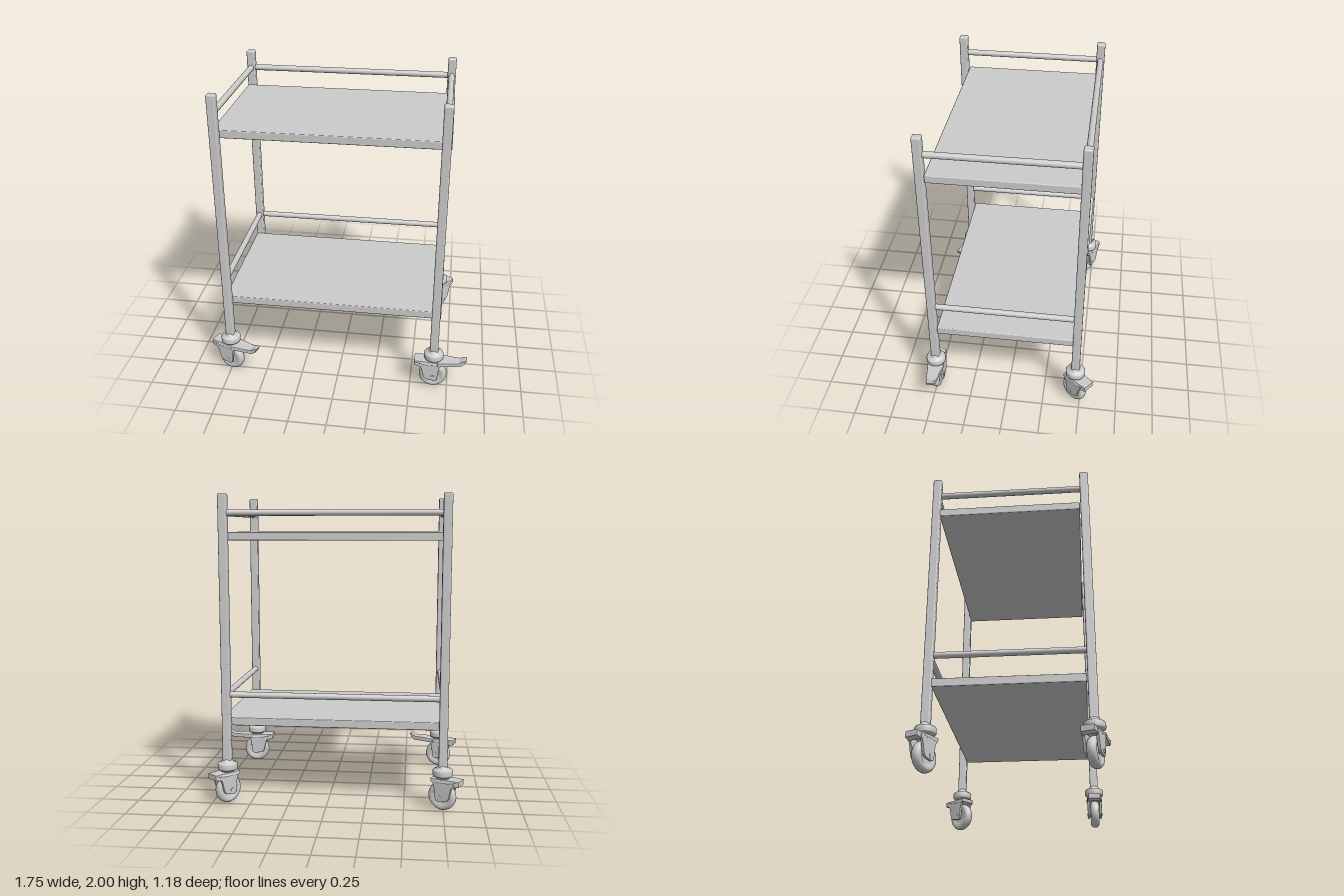
import * as THREE from 'three';
import { RoundedBoxGeometry } from 'three/addons/geometries/RoundedBoxGeometry.js';

const grey = new THREE.MeshStandardMaterial({ color: 0xcccccc });

function part(parent, name, geometry, x = 0, y = 0, z = 0) {
  const mesh = new THREE.Mesh(geometry, grey);
  mesh.name = name;
  mesh.position.set(x, y, z);
  parent.add(mesh);
  return mesh;
}

// Extrudes an x-y outline to a width centred on z
function slab(points, width, bevel = 0.006) {
  const shape = new THREE.Shape(points.map(([x, y]) => new THREE.Vector2(x, y)));
  const depth = width - 2 * bevel;
  return new THREE.ExtrudeGeometry(shape, {
    depth, bevelSize: bevel, bevelThickness: bevel, bevelOffset: -bevel, bevelSegments: 2,
  }).translate(0, 0, -depth / 2);
}

const lathe = (points, sides) =>
  new THREE.LatheGeometry(points.map(([r, y]) => new THREE.Vector2(r, y)), sides);

// Narrows a geometry in z between two x positions
function taper(geometry, x0, x1, endScale) {
  const p = geometry.attributes.position;
  for (let i = 0; i < p.count; i++) {
    const t = THREE.MathUtils.clamp((p.getX(i) - x0) / (x1 - x0), 0, 1);
    p.setZ(i, p.getZ(i) * (1 + (endScale - 1) * t));
  }
  geometry.computeVertexNormals();
  return geometry;
}

function createCaster(hasBrake) {
  const caster = new THREE.Group();

  // Swivel collar with a conical neck
  part(caster, 'swivelCollar', lathe([
    [0, 0.215], [0.045, 0.215], [0.05, 0.228], [0.062, 0.23], [0.065, 0.236], [0.065, 0.264],
    [0.06, 0.272], [0.042, 0.275], [0.038, 0.285], [0.028, 0.298], [0, 0.298],
  ], 24));

  // Fork: hooded top and a cheek on each side of the wheel
  part(caster, 'forkHood', taper(slab([
    [-0.127, 0.182], [-0.09, 0.172], [-0.06, 0.192], [0.05, 0.188], [0.062, 0.195],
    [0.062, 0.217], [-0.127, 0.217],
  ], 0.104), -0.06, -0.127, 0.8));
  const cheek = slab([
    [-0.095, 0.185], [-0.08, 0.165], [-0.06, 0.09], [-0.045, 0.077], [0.012, 0.068],
    [0.03, 0.078], [0.04, 0.165], [0.055, 0.2], [-0.095, 0.2],
  ], 0.018, 0.004);
  for (const side of [-1, 1]) part(caster, 'forkCheek', cheek, 0, 0, side * 0.041);

  // Wheel: rounded tyre around a recessed hub
  const wheel = part(caster, 'wheel', lathe([
    [0, -0.02], [0.045, -0.02], [0.052, -0.026], [0.07, -0.03], [0.083, -0.025], [0.091, -0.013],
    [0.093, 0], [0.091, 0.013], [0.083, 0.025], [0.07, 0.03], [0.052, 0.026], [0.045, 0.02],
    [0, 0.02],
  ], 32), 0, 0.097, 0);
  wheel.rotation.x = Math.PI / 2;
  const axle = part(caster, 'axle', new THREE.CylinderGeometry(0.014, 0.014, 0.104, 16), 0, 0.097, 0);
  axle.rotation.x = Math.PI / 2;

  // Brake pedal with an upturned tip
  if (hasBrake) {
    part(caster, 'brakePedal', taper(slab([
      [0.03, 0.187], [0.18, 0.187], [0.207, 0.204], [0.221, 0.234], [0.205, 0.232],
      [0.175, 0.217], [0.03, 0.217],
    ], 0.11), 0.06, 0.22, 0.45));
  }
  return caster;
}

export function createModel() {
  const model = new THREE.Group();
  model.name = 'trolley';
  const xs = [-0.745, 0.652], zs = [-0.463, 0.497];
  const midX = (xs[0] + xs[1]) / 2, midZ = (zs[0] + zs[1]) / 2;

  // Corner posts
  const post = new RoundedBoxGeometry(0.056, 1.72, 0.056, 3, 0.01);
  for (const x of xs) for (const z of zs) part(model, 'post', post, x, 1.14, z);

  // Two decks, each with a shelf and guard rails on the back and both ends
  const shelf = new RoundedBoxGeometry(1.455, 0.052, 0.905, 2, 0.006);
  const backRail = new THREE.CylinderGeometry(0.02, 0.02, xs[1] - xs[0], 20).rotateZ(Math.PI / 2);
  const endRail = new THREE.CylinderGeometry(0.02, 0.02, zs[1] - zs[0], 20).rotateX(Math.PI / 2);
  for (const [shelfY, railY] of [[0.537, 0.722], [1.735, 1.881]]) {
    part(model, 'shelf', shelf, -0.043, shelfY, 0.013);
    part(model, 'backRail', backRail, midX, railY, zs[0]);
    for (const x of xs) part(model, 'endRail', endRail, x, railY, midZ);
  }

  // Casters, each swivelled its own way; the front pair has brakes
  const casters = [
    ['frontRightCaster', xs[0], zs[1], -0.33, true],
    ['frontLeftCaster', xs[1], zs[1], 0, true],
    ['backRightCaster', xs[0], zs[0], -0.45, false],
    ['backLeftCaster', xs[1], zs[0], Math.PI + 0.88, false],
  ];
  for (const [name, x, z, turn, hasBrake] of casters) {
    const caster = createCaster(hasBrake);
    caster.name = name;
    caster.position.set(x, -0.004, z);
    caster.rotation.y = turn;
    model.add(caster);
  }
  return model;
}
